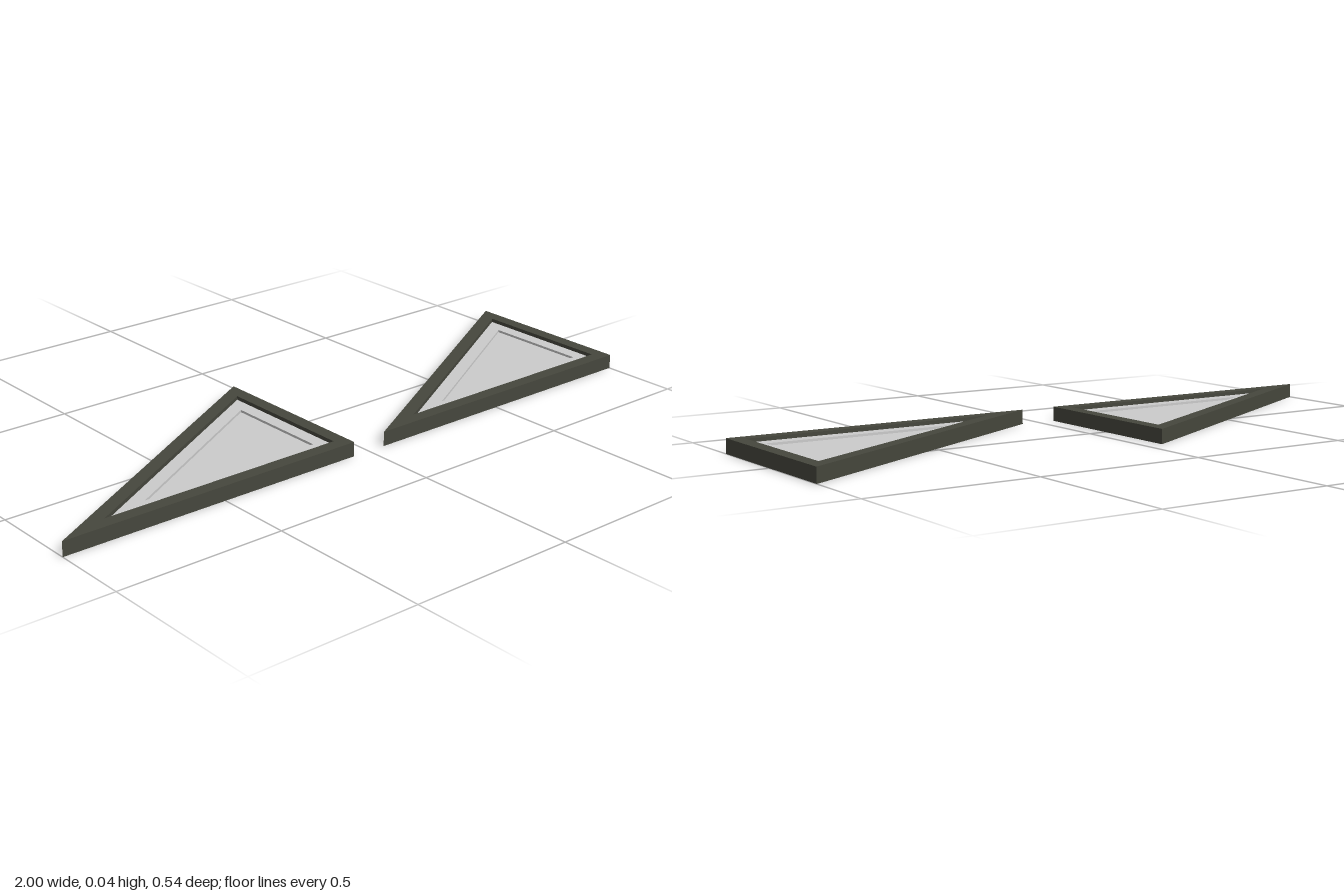
import * as THREE from 'three';

const WIDTH = 0.945, DEPTH = 0.54, HEIGHT = 0.043, GAP = 0.055;
const INRADIUS = (WIDTH + DEPTH - Math.hypot(WIDTH, DEPTH)) / 2;

// Corners of the right triangle with every side moved inward by d
function corners(d) {
  const k = 1 - d / INRADIUS;
  const cx = WIDTH / 2 - INRADIUS, cy = -DEPTH / 2 + INRADIUS;
  return [[-WIDTH / 2, -DEPTH / 2], [WIDTH / 2, -DEPTH / 2], [WIDTH / 2, DEPTH / 2]]
    .map(([x, y]) => new THREE.Vector2(cx + (x - cx) * k, cy + (y - cy) * k));
}

// Flat triangular slab between two heights, optionally with a triangular opening
function slab(name, material, outer, inner, bottom, top) {
  const shape = new THREE.Shape(corners(outer));
  if (inner !== null) shape.holes.push(new THREE.Path(corners(inner).reverse()));
  const geometry = new THREE.ExtrudeGeometry(shape, { depth: top - bottom, bevelEnabled: false });
  geometry.rotateX(-Math.PI / 2);
  geometry.translate(0, bottom, 0);
  const mesh = new THREE.Mesh(geometry, material);
  mesh.name = name;
  return mesh;
}

export function createModel() {
  const model = new THREE.Group();
  model.name = 'triangularWindows';
  const frameMaterial = new THREE.MeshStandardMaterial({ color: 0x46473d });
  const glassMaterial = new THREE.MeshStandardMaterial({ color: 0xcccccc });

  for (const side of [-1, 1]) {
    const pane = new THREE.Group();
    pane.name = side < 0 ? 'rightWindow' : 'leftWindow';
    // Dark outer frame, raised glazing border and thinner recessed centre
    pane.add(
      slab('frame', frameMaterial, 0, 0.04, 0, HEIGHT),
      slab('glassBorder', glassMaterial, 0.04, 0.08, 0.011, 0.032),
      slab('glassCentre', glassMaterial, 0.08, null, 0.018, 0.025)
    );
    pane.position.x = side * (GAP + WIDTH / 2);
    model.add(pane);
  }
  return model;
}
